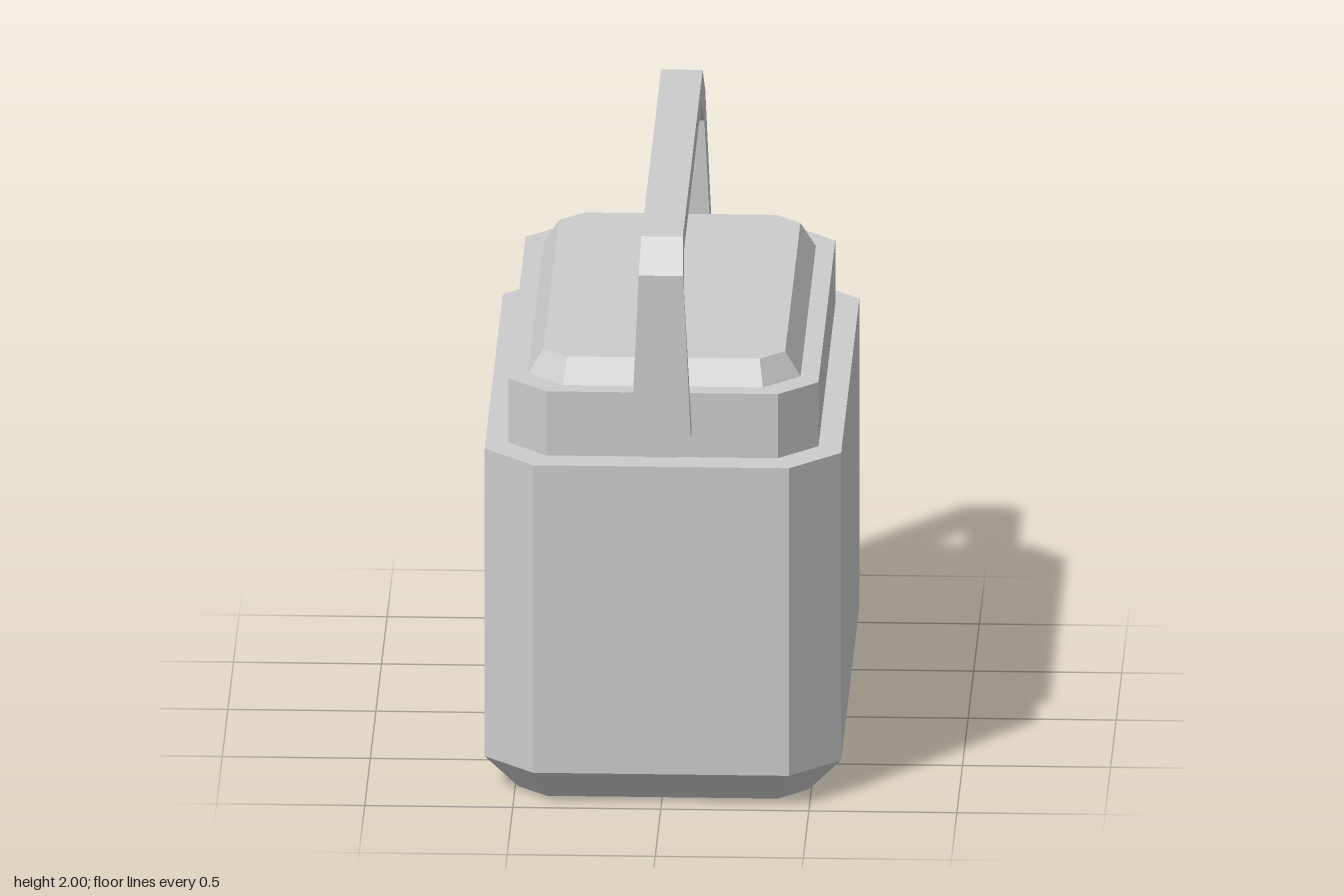
import * as THREE from 'three';

const material = new THREE.MeshStandardMaterial({ color: 0xcccccc, flatShading: true });

// Skin a closed solid over a list of equal-length point rings, capping both ends.
function loft(name, rings) {
  const pos = [];
  const tri = (...pts) => pts.forEach((p) => pos.push(...p));
  const n = rings[0].length;
  for (let r = 0; r < rings.length - 1; r++) {
    for (let i = 0; i < n; i++) {
      const j = (i + 1) % n;
      const lo = rings[r], hi = rings[r + 1];
      tri(lo[i], hi[i], hi[j]);
      tri(lo[i], hi[j], lo[j]);
    }
  }
  const first = rings[0], last = rings[rings.length - 1];
  for (let i = 1; i < n - 1; i++) {
    tri(first[0], first[i], first[i + 1]);
    tri(last[0], last[i + 1], last[i]);
  }
  const geometry = new THREE.BufferGeometry();
  geometry.setAttribute('position', new THREE.Float32BufferAttribute(pos, 3));
  geometry.computeVertexNormals();
  const mesh = new THREE.Mesh(geometry, material);
  mesh.name = name;
  return mesh;
}

// Rectangle with cut corners at height y: half width x, half length z, corner cut c.
function octagon(y, x, z, c) {
  return [
    [x, z - c], [x - c, z], [c - x, z], [-x, z - c],
    [-x, c - z], [c - x, -z], [x - c, -z], [x, c - z],
  ].map(([px, pz]) => [px, y, pz]);
}

// Four-cornered handle section between its inner and outer edge, half width w.
function handleSection([w, outerY, outerZ, innerY, innerZ]) {
  return [
    [w, innerY, innerZ], [w, outerY, outerZ],
    [-w, outerY, outerZ], [-w, innerY, innerZ],
  ];
}

export function createModel() {
  const model = new THREE.Group();
  model.name = 'coolBox';

  // Container with a bevelled base
  model.add(loft('body', [
    octagon(0, 0.49, 0.873, 0.1),
    octagon(0.12, 0.602, 0.988, 0.17),
    octagon(1.215, 0.602, 0.988, 0.17),
  ]));

  // Lid: straight rim and sloped cap
  model.add(loft('lidRim', [
    octagon(1.215, 0.523, 0.882, 0.132),
    octagon(1.443, 0.523, 0.882, 0.132),
  ]));
  model.add(loft('lidCap', [
    octagon(1.443, 0.46, 0.813, 0.122),
    octagon(1.528, 0.408, 0.762, 0.083),
  ]));

  // Carrying handle: front leg up to the grip, then mirrored down the back
  const front = [
    [0.052, 1.248, 0.988, 1.248, 0.907],
    [0.101, 1.316, 0.988, 1.316, 0.907],
    [0.075, 1.895, 0.988, 1.812, 0.907],
    [0.07, 2, 0.883, 1.917, 0.802],
  ];
  const back = front.map(([w, oy, oz, iy, iz]) => [w, oy, -oz, iy, -iz]).reverse();
  model.add(loft('handle', [...front, ...back].map(handleSection)));

  return model;
}
